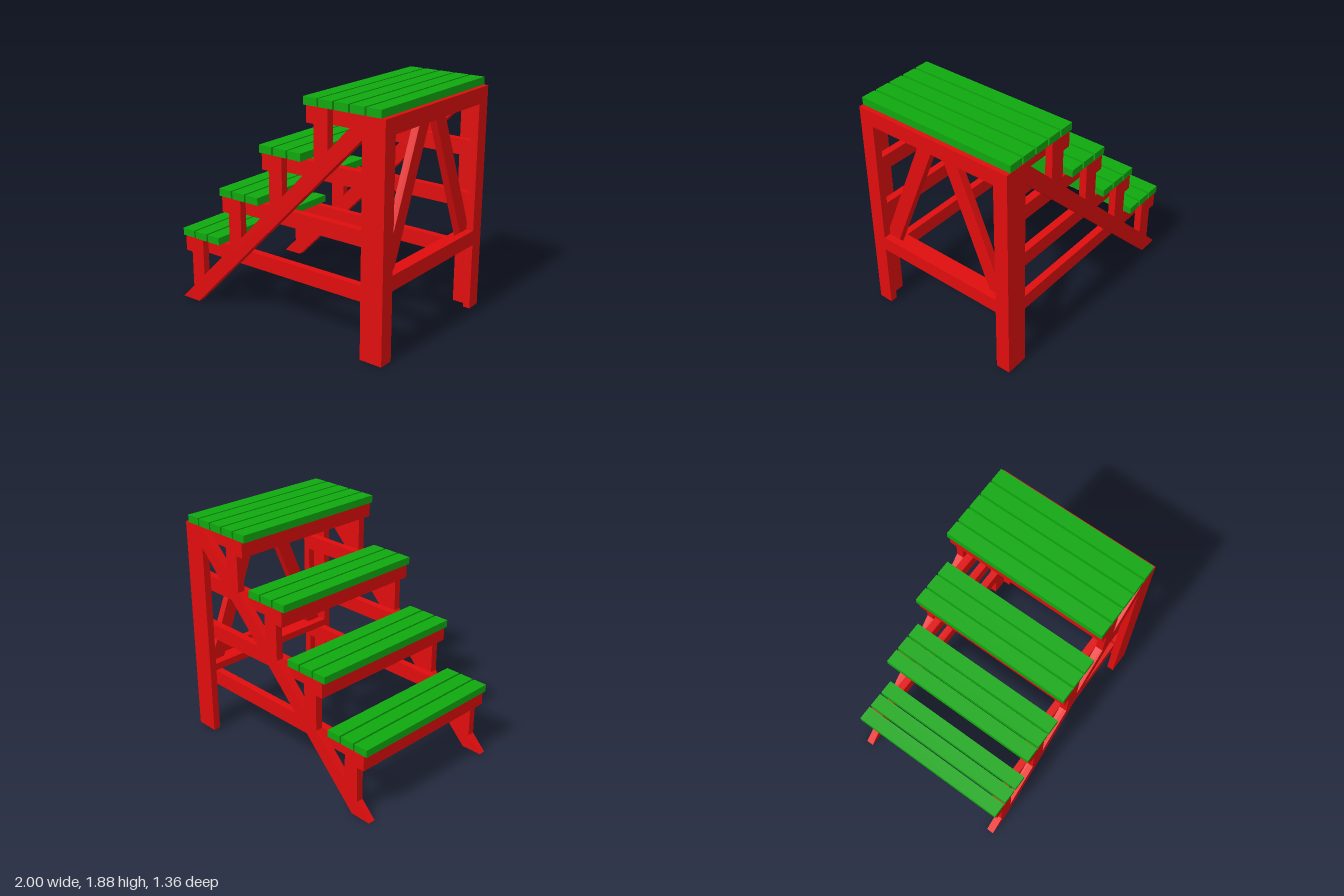
import * as THREE from 'three';

const red = new THREE.MeshStandardMaterial({ color: 0xe00d0d });
const green = new THREE.MeshStandardMaterial({ color: 0x0fa80f });

const T = 0.06;     // board thickness
const W = 0.68;     // half width of the stand
const STEP = 0.422; // rise and run of one step

export function createModel() {
  const model = new THREE.Group();

  const add = (name, geometry, material = red) => {
    const mesh = new THREE.Mesh(geometry, material);
    mesh.name = name;
    model.add(mesh);
  };

  // Box given by its limits on each axis
  const box = (name, [x0, x1], [y0, y1], [z0, z1], material) => {
    const g = new THREE.BoxGeometry(x1 - x0, y1 - y0, Math.abs(z1 - z0));
    g.translate((x0 + x1) / 2, (y0 + y1) / 2, (z0 + z1) / 2);
    add(name, g, material);
  };

  // Flat board of thickness T cut to an outline
  const board = (points) => new THREE.ExtrudeGeometry(
    new THREE.Shape(points.map(([a, b]) => new THREE.Vector2(a, b))),
    { depth: T, bevelEnabled: false });

  const slope = 1.815 / 1.81;
  const stringerTop = (x) => (x + 1) * slope;

  for (const s of [1, -1]) {
    const outer = [s * (W - T), s * W];
    const inner = [s * (W - 2 * T), s * (W - T)];
    const outerZ = Math.min(...outer);

    // Sloping stringer
    add('stringer', board([[-1, 0], [-0.825, 0], [0.81, 1.645], [0.81, 1.815]])
      .translate(0, 0, outerZ));

    // L-shaped rear leg
    box('legWideBoard', [0.81, 1], [0, 1.815], outer);
    box('legNarrowBoard', [0.94, 1], [0, 1.815], inner);

    // Step posts on the stringer, and side rails running back to the leg
    for (let i = 0; i < 4; i++) {
      const x0 = -0.875 + i * STEP, x1 = x0 + 0.125, top = 0.55 + i * STEP;
      add('stepPost', board([[x0, stringerTop(x0)], [x1, stringerTop(x1)], [x1, top], [x0, top]])
        .translate(0, 0, outerZ));
      box('sideRail', [x0, 0.94], [top - 0.125, top], inner);
    }

    // Slanted brace in the tall end frame
    add('endBrace', board([[0.48, 0.61], [0.61, 0.61], [0.113, 1.815], [0, 1.815], [0, 1.775]]
      .map(([z, y]) => [s * z, y])).rotateY(-Math.PI / 2).translate(0.94, 0, 0));
  }

  // Cross beams and tread slats
  for (let i = 0; i < 4; i++) {
    const top = 0.55 + i * STEP;
    const x = -0.94 + i * STEP;
    box('crossBeam', [x, x + 0.065], [top - 0.125, top], [-W, W]);
    const count = i === 3 ? 5 : 3;
    for (let j = 0; j < count; j++) {
      const sx = -0.967 + i * STEP + j * 0.1365;
      box('treadSlat', [sx, sx + 0.12], [top, top + T], [-W, W], green);
    }
  }

  // Rails of the tall end frame
  const span = [-W + 2 * T, W - 2 * T];
  box('endTopRail', [0.94, 1], [1.69, 1.815], span);
  box('endMiddleRail', [0.94, 1], [0.55, 0.67], span);
  box('endMiddleShelf', [0.81, 0.94], [0.55, 0.61], [-W + T, W - T]);

  return model;
}
